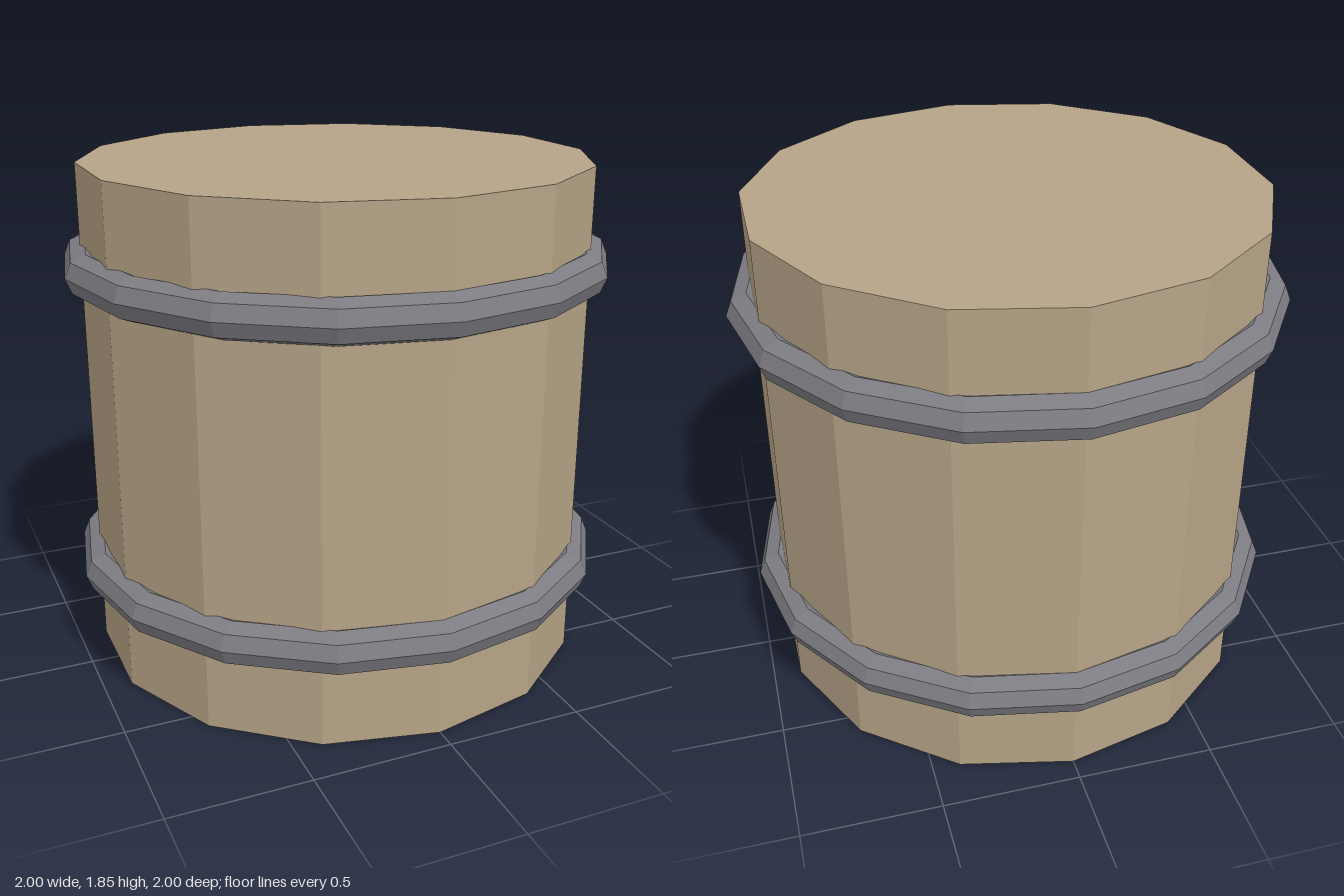
import * as THREE from 'three';

export function createModel() {
  const group = new THREE.Group();
  group.name = 'barrel';

  const wood = new THREE.MeshStandardMaterial({ color: 0xb5a386, flatShading: true });
  wood.name = 'pale wood';
  const iron = new THREE.MeshStandardMaterial({ color: 0x7c7c82, flatShading: true });
  iron.name = 'grey iron';

  const radius = 0.923, height = 1.846, tube = 0.077;

  // Straight fourteen-sided body with closed ends
  const body = new THREE.Mesh(new THREE.CylinderGeometry(radius, radius, height, 14), wood);
  body.name = 'body';
  body.position.y = height / 2;
  group.add(body);

  // Two hoops, mirrored about the middle of the body
  const hoopGeometry = new THREE.TorusGeometry(radius, tube, 8, 16).rotateX(Math.PI / 2);
  for (const [name, side] of [['lowerHoop', -1], ['upperHoop', 1]]) {
    const hoop = new THREE.Mesh(hoopGeometry, iron);
    hoop.name = name;
    hoop.position.y = height / 2 + side * 0.563;
    group.add(hoop);
  }

  return group;
}
